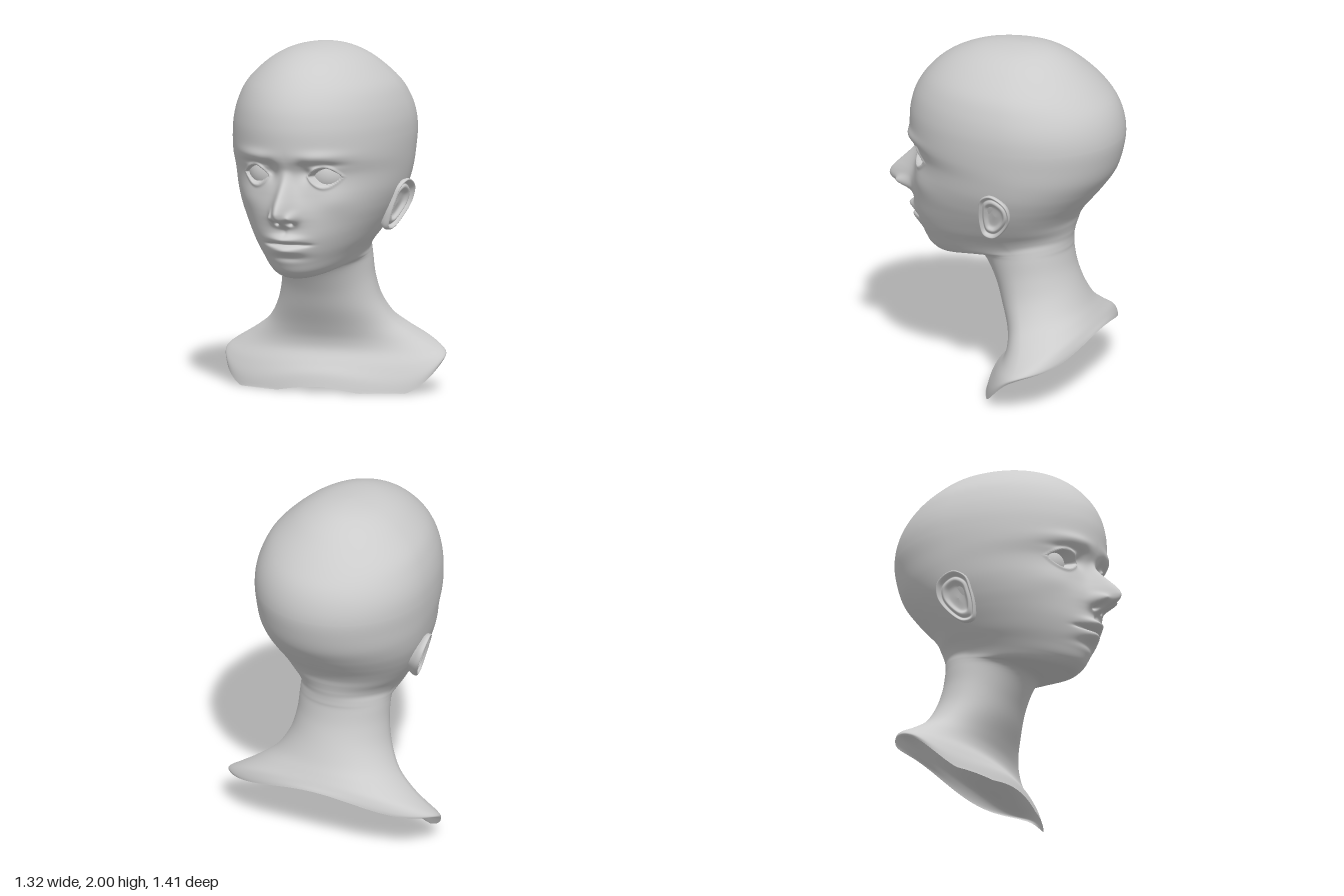
import * as THREE from 'three';

const material = new THREE.MeshStandardMaterial({ color: 0xcccccc, side: THREE.DoubleSide });

// Section keys: [frontZ, frontY, backZ, backY, halfWidth, widestZ, sideY]
const headKeys = [
  [-0.11, 2, -0.11, 2, 0, -0.11, 2],
  [0.1, 1.985, -0.27, 1.98, 0.14, -0.11, 1.982],
  [0.24, 1.945, -0.39, 1.925, 0.25, -0.12, 1.937],
  [0.36, 1.88, -0.49, 1.85, 0.345, -0.13, 1.867],
  [0.456, 1.79, -0.58, 1.765, 0.43, -0.14, 1.778],
  [0.52, 1.69, -0.65, 1.68, 0.477, -0.15, 1.685],
  [0.55, 1.59, -0.69, 1.59, 0.503, -0.16, 1.59],
  [0.557, 1.5, -0.705, 1.49, 0.51, -0.16, 1.495],
  [0.55, 1.4, -0.69, 1.385, 0.505, -0.15, 1.393],
  [0.51, 1.31, -0.655, 1.28, 0.493, -0.15, 1.295],
  [0.52, 1.2, -0.595, 1.19, 0.472, -0.14, 1.195],
  [0.535, 1.1, -0.53, 1.11, 0.44, -0.13, 1.11],
  [0.54, 1.02, -0.475, 1.045, 0.405, -0.12, 1.04],
  [0.535, 0.94, -0.44, 0.99, 0.37, -0.11, 0.98],
  [0.51, 0.86, -0.425, 0.945, 0.335, -0.1, 0.925],
  [0.475, 0.79, -0.415, 0.91, 0.3, -0.1, 0.88],
  [0.44, 0.735, -0.41, 0.885, 0.275, -0.115, 0.845],
];
const neckKeys = [
  [0.37, 0.7, -0.405, 0.86, 0.262, -0.13, 0.82],
  [0.26, 0.718, -0.403, 0.835, 0.26, -0.15, 0.8],
  [0.165, 0.738, -0.403, 0.81, 0.26, -0.16, 0.785],
  [0.1, 0.71, -0.403, 0.775, 0.262, -0.17, 0.75],
  [0.03, 0.59, -0.42, 0.68, 0.272, -0.18, 0.64],
  [-0.02, 0.47, -0.455, 0.58, 0.305, -0.2, 0.51],
  [-0.07, 0.36, -0.5, 0.48, 0.375, -0.24, 0.395],
  [-0.095, 0.285, -0.535, 0.42, 0.48, -0.28, 0.315],
  [-0.09, 0.22, -0.56, 0.38, 0.585, -0.3, 0.25],
  [-0.04, 0.155, -0.575, 0.355, 0.64, -0.3, 0.215],
  [0.005, 0.1, -0.585, 0.34, 0.66, -0.3, 0.195],
  [0.03, 0.03, -0.59, 0.33, 0.655, -0.3, 0.18],
];
const keys = [...headKeys, ...neckKeys];
const beforeCrown = [-0.27, 1.98, 0.1, 1.985, -0.14, -0.11, 1.982];

// Nose projection from y = 1.40 downwards in steps of 0.03
const noseHeights = [0, 0.003, 0.01, 0.027, 0.048, 0.073, 0.098, 0.124, 0.15, 0.168, 0.172, 0.145, 0.065, 0.01, 0];

function spline(a, b, c, d, t) {
  return 0.5 * (2 * b + (c - a) * t + (2 * a - 5 * b + 4 * c - d) * t * t + (3 * b - a - 3 * c + d) * t * t * t);
}

function sectionAt(k, t) {
  const last = keys.length - 1;
  const a = k > 0 ? keys[k - 1] : beforeCrown;
  const d = keys[Math.min(k + 2, last)];
  return keys[k].map((b, i) => spline(a[i], b, keys[k + 1][i], d[i], t));
}

function noseHeight(y) {
  const s = (1.4 - y) / 0.03;
  if (s <= 0 || s >= noseHeights.length - 1) return 0;
  const k = Math.floor(s);
  const at = (i) => noseHeights[Math.min(Math.max(i, 0), noseHeights.length - 1)];
  return spline(at(k - 1), at(k), at(k + 1), at(k + 2), s - k);
}

const bell = (v, centre, size) => Math.exp(-(((v - centre) / size) ** 2));
const bump = (x, y, cx, cy, sx, sy) => bell(x, cx, sx) * bell(y, cy, sy);

// Forward displacement of the face at (|x|, y)
function faceRelief(x, y) {
  // nose, nostril wings and nostrils
  const w = 0.033 + 0.022 * THREE.MathUtils.smoothstep(1.33 - y, 0, 0.22);
  let dz = noseHeight(y) * (0.78 * bell(x, 0, w) + 0.22 * bell(x, 0, 2 * w));
  dz += 0.055 * bump(x, y, 0.064, 1.078, 0.022, 0.03);
  dz -= 0.05 * bump(x, y, 0.038, 1.043, 0.018, 0.014);
  // brow, lid crease, inner socket, cheekbone
  dz += 0.018 * bump(x, y, 0.2, 1.42, 0.12, 0.032);
  dz -= 0.016 * bump(x, y, 0.2, 1.37, 0.09, 0.018);
  dz -= 0.03 * bump(x, y, 0.1, 1.33, 0.035, 0.05);
  dz += 0.015 * bump(x, y, 0.27, 1.16, 0.09, 0.07);
  // almond eye opening with raised lids
  const inside = 0.05 * (1 - ((x - 0.205) / 0.08) ** 2) - Math.abs(y - 1.302);
  dz -= 0.075 * THREE.MathUtils.smoothstep(inside, -0.004, 0.01);
  dz += 0.01 * bell(inside, -0.012, 0.01);
  // lips, mouth line, philtrum, chin crease
  dz += 0.045 * bump(x, y, 0, 0.945, 0.085, 0.024);
  dz += 0.04 * bump(x, y, 0, 0.878, 0.08, 0.026);
  dz -= 0.035 * Math.exp(-((x / 0.12) ** 4)) * bell(y, 0.912, 0.01);
  dz -= 0.008 * bump(x, y, 0, 0.985, 0.015, 0.025);
  dz -= 0.012 * bump(x, y, 0, 0.832, 0.1, 0.02);
  return dz;
}

// Smooth surface from rows of points, each row a closed loop
function loopSurface(rows) {
  const n = rows[0].length;
  const index = [];
  for (let i = 0; i < rows.length - 1; i++) {
    for (let j = 0; j < n; j++) {
      const a = i * n + j, d = i * n + ((j + 1) % n);
      index.push(a, a + n, d + n, a, d + n, d);
    }
  }
  const geometry = new THREE.BufferGeometry();
  geometry.setAttribute('position', new THREE.Float32BufferAttribute(rows.flat(2), 3));
  geometry.setIndex(index);
  geometry.computeVertexNormals();
  return geometry;
}

function skinRow(k, t, columns) {
  const [zf, yf, zb, yb, w, zw, ys] = sectionAt(k, t);
  const rimDip = THREE.MathUtils.smoothstep(k + t, keys.length - 4, keys.length - 1);
  const row = [];
  for (let j = 0; j < columns; j++) {
    // columns are closer together on the face
    const s = (2 * j) / columns - 1;
    const angle = Math.PI * s * (0.5 + 0.5 * Math.abs(s));
    const c = Math.cos(angle), sn = Math.sin(angle);
    const x = w * sn;
    let z = zw + (c > 0 ? zf - zw : zw - zb) * c;
    const mid = (yf + yb) / 2;
    let y = mid + ((yf - yb) / 2) * c + (ys - mid) * sn * sn;
    y -= rimDip * (c > 0 ? 0.085 : 0.04) * (2 * sn * c) ** 2;
    if (c > 0) z += faceRelief(Math.abs(x), y) * THREE.MathUtils.smoothstep(c, 0.2, 0.5);
    row.push([x, Math.max(y, 0), z]);
  }
  return row;
}

function makeSkin() {
  const rows = [];
  for (let k = 0; k < keys.length - 1; k++) {
    const steps = k >= 7 && k < 16 ? 16 : 5; // finer over the face
    for (let i = 0; i < steps; i++) rows.push(skinRow(k, i / steps, 240));
  }
  rows.push(skinRow(keys.length - 2, 1, 240));
  return loopSurface(rows);
}

// Ear: an outline scaled through a [scale, lift] profile from bowl to rim to back
const earOutline = new THREE.CatmullRomCurve3([
  [1.236, -0.11], [1.2, -0.04], [1.13, -0.02], [1.03, -0.012], [0.955, -0.03],
  [0.945, -0.09], [1.01, -0.17], [1.1, -0.22], [1.185, -0.205],
].map(([y, z]) => new THREE.Vector3(0, y, z)), true);
const earProfile = new THREE.SplineCurve([
  [0.01, 0.016], [0.3, 0.014], [0.48, 0.018], [0.62, 0.036], [0.72, 0.034], [0.8, 0.024], [0.88, 0.04],
  [0.95, 0.048], [1, 0.04], [0.99, 0.022], [0.9, 0], [0.72, -0.04], [0.55, -0.09],
].map(([r, h]) => new THREE.Vector2(r, h)));

function makeEar(side) {
  const rows = earProfile.getPoints(44).map((p) => {
    const row = [];
    for (let j = 0; j < 64; j++) {
      const o = earOutline.getPoint(((side * j) / 64 + 1) % 1);
      const y = 1.09 + (o.y - 1.09) * p.x;
      const z = -0.11 + (o.z + 0.11) * p.x;
      row.push([side * (0.36 + 0.3 * (y - 0.95) - 0.2 * z + p.y), y, z]);
    }
    return row;
  });
  return loopSurface(rows);
}

export function createModel() {
  const model = new THREE.Group();
  const add = (name, geometry) => {
    const mesh = new THREE.Mesh(geometry, material);
    mesh.name = name;
    model.add(mesh);
    return mesh;
  };
  add('headNeckAndShoulders', makeSkin());
  for (const [label, side] of [['left', 1], ['right', -1]]) {
    add(label + 'Ear', makeEar(side));
    add(label + 'Eye', new THREE.SphereGeometry(0.125, 40, 28)).position.set(side * 0.175, 1.302, 0.295);
  }
  return model;
}
